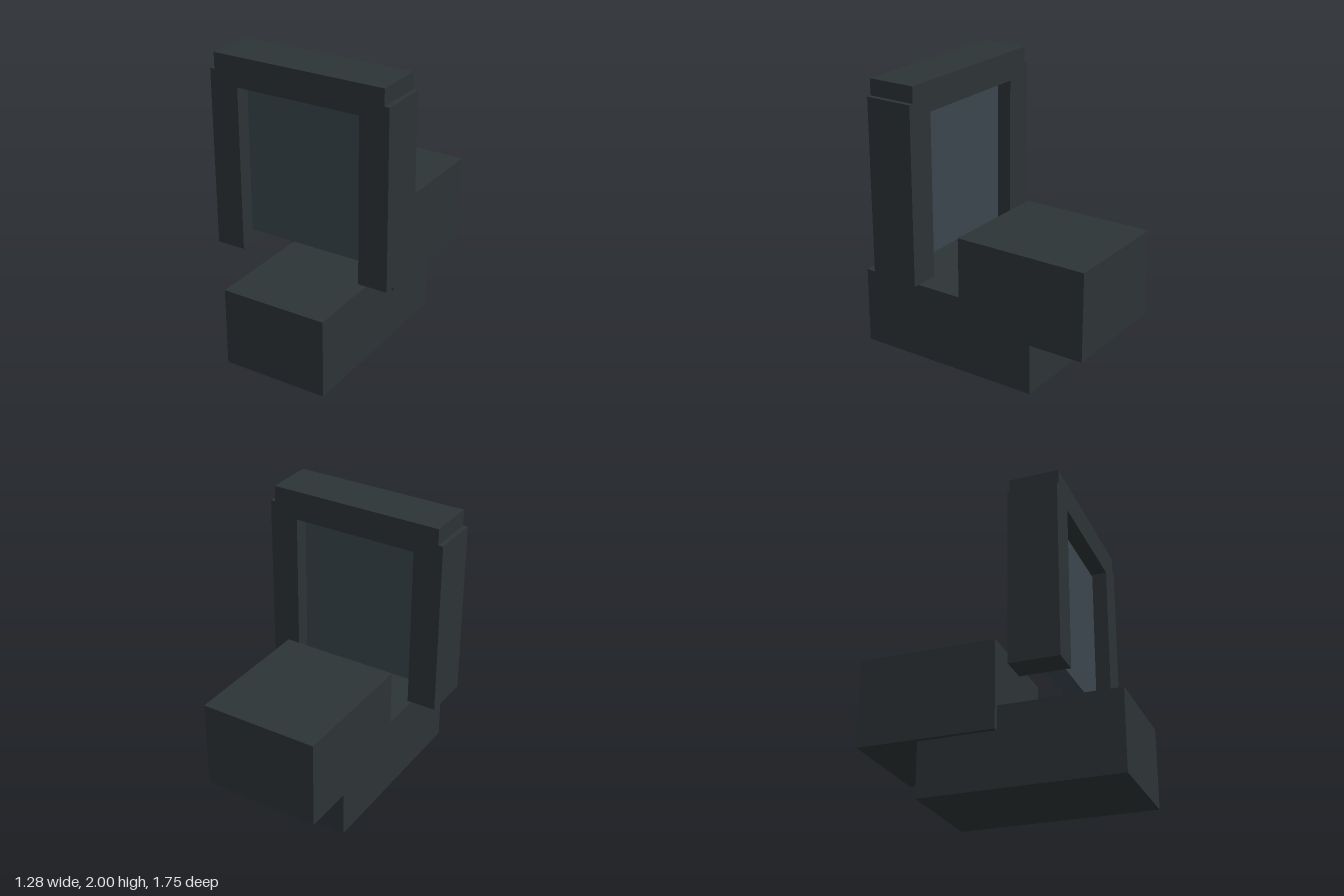
import * as THREE from 'three';

export function createModel() {
  const model = new THREE.Group();
  const dark = new THREE.MeshStandardMaterial({ color: 0x2d3436 });
  const slate = new THREE.MeshStandardMaterial({ color: 0x3a454c });

  // Box given by its min and max on each axis
  const block = (name, [x0, x1], [y0, y1], [z0, z1], material = dark) => {
    const mesh = new THREE.Mesh(new THREE.BoxGeometry(x1 - x0, y1 - y0, z1 - z0), material);
    mesh.position.set((x0 + x1) / 2, (y0 + y1) / 2, (z0 + z1) / 2);
    mesh.name = name;
    model.add(mesh);
  };

  // Lower body and raised rear block
  block('base', [-0.37, 0.37], [0, 0.54], [-0.47, 0.877]);
  block('rearBlock', [-0.405, 0.405], [0.375, 0.98], [-0.877, 0.065]);

  // Upright frame: two posts and a top bar
  const frameDepth = [0.238, 0.572];
  block('leftPost', [0.437, 0.64], [0.68, 1.89], frameDepth);
  block('rightPost', [-0.64, -0.437], [0.68, 1.89], frameDepth);
  block('topBar', [-0.607, 0.607], [1.8, 2], frameDepth);

  // Recessed panel between the posts
  block('panel', [-0.438, 0.438], [0.78, 1.785], [0.34, 0.47], slate);

  return model;
}
